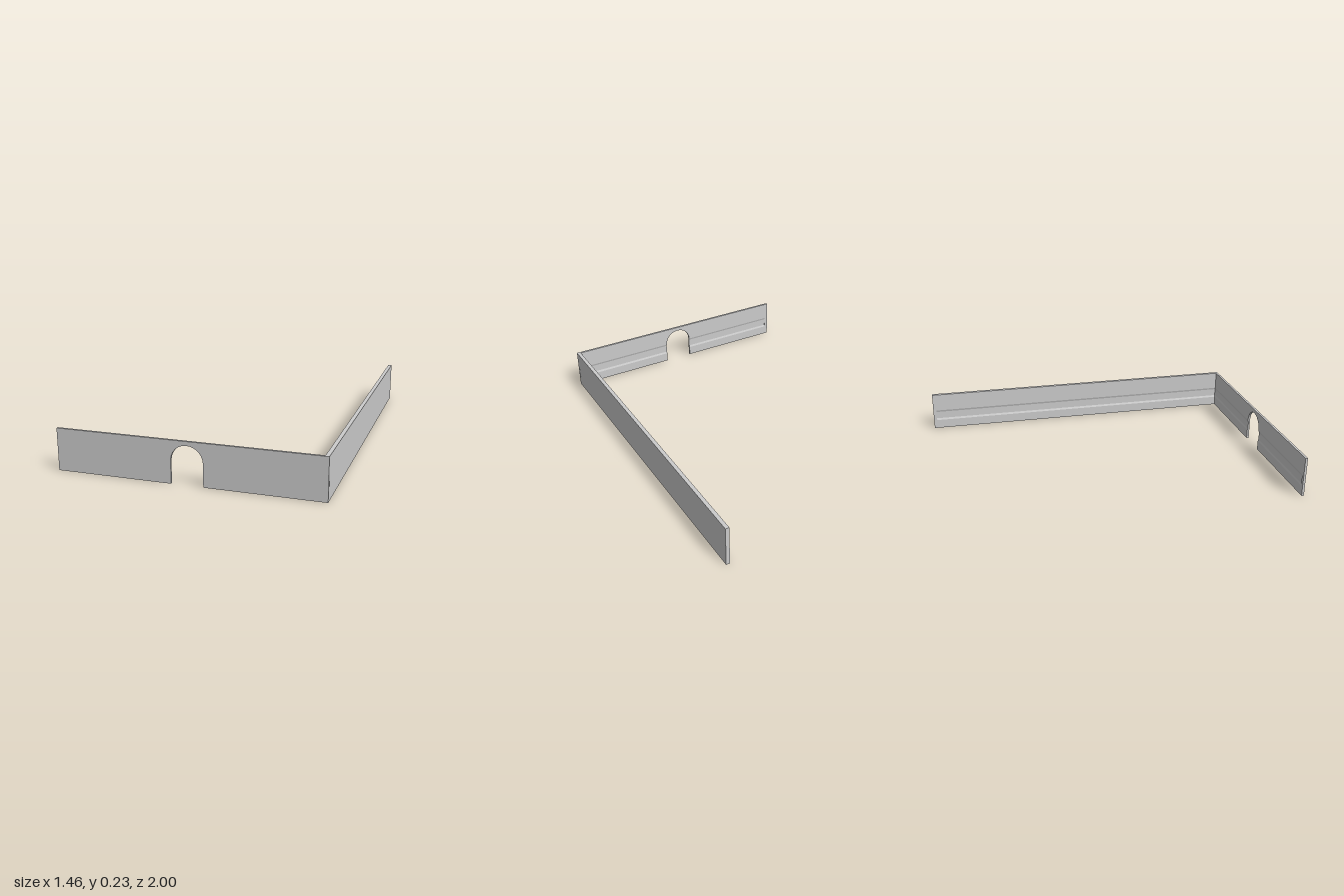
import * as THREE from 'three';

const HEIGHT = 0.235;
const RELIEF = 0.004; // depth of the groove on the inner face
const GROOVE = { low: 0.056, lowIn: 0.068, highIn: 0.113, high: 0.125 };
const material = new THREE.MeshStandardMaterial({ color: 0xcccccc, flatShading: true });

function addPart(group, name, geometry) {
  const mesh = new THREE.Mesh(geometry, material);
  mesh.name = name;
  group.add(mesh);
  return mesh;
}

// Flat plate outline from x0 to x1 and y0 to the top, with an optional arched opening
function plateShape(x0, x1, y0, arch) {
  const shape = new THREE.Shape();
  shape.moveTo(x0, y0);
  if (arch) {
    if (arch.spring > y0) shape.lineTo(arch.x - arch.radius, y0);
    shape.lineTo(arch.x - arch.radius, arch.spring);
    const steps = 12;
    for (let i = 1; i <= steps; i++) {
      const a = Math.PI * (1 - i / steps);
      shape.lineTo(arch.x + arch.radius * Math.cos(a), arch.spring + arch.radius * Math.sin(a));
    }
    if (arch.spring > y0) shape.lineTo(arch.x + arch.radius, y0);
  }
  shape.lineTo(x1, y0);
  shape.lineTo(x1, HEIGHT);
  shape.lineTo(x0, HEIGHT);
  return shape;
}

function extrudePlate(shape, z, depth) {
  return new THREE.ExtrudeGeometry(shape, { depth, bevelEnabled: false }).translate(0, 0, z);
}

// Strip running along x, from a (z, y) cross-section
function strip(points, x0, x1, z) {
  const shape = new THREE.Shape(points.map(([d, y]) => new THREE.Vector2(-d, y)));
  return new THREE.ExtrudeGeometry(shape, { depth: x1 - x0, bevelEnabled: false })
    .rotateY(Math.PI / 2)
    .translate(x0, 0, z);
}

// Wall with its outer face on z = 0 and its grooved inner face towards +z
function makeWall(name, { x0, x1, thickness, arch, runs, post }) {
  const wall = new THREE.Group();
  wall.name = name;
  const z = thickness - RELIEF;
  addPart(wall, 'wallPanel', extrudePlate(plateShape(x0, x1, 0, arch), 0, z));
  addPart(wall, 'upperInnerFace', extrudePlate(plateShape(x0, x1, GROOVE.high, arch), z, RELIEF));

  // Sloped edges below and above the groove
  for (const [a, b] of runs) {
    addPart(wall, 'footRail', strip(
      [[0, 0], [RELIEF, 0], [RELIEF, GROOVE.low], [0, GROOVE.lowIn]], a, b, z));
    addPart(wall, 'grooveUpperSlope', strip(
      [[0, GROOVE.highIn], [RELIEF, GROOVE.high], [0, GROOVE.high]], a, b, z));
  }

  // Solid stop closing the groove at the free end
  const [p0, p1] = post;
  addPart(wall, 'endPost', new THREE.BoxGeometry(p1 - p0, GROOVE.high, RELIEF))
    .position.set((p0 + p1) / 2, GROOVE.high / 2, z + RELIEF / 2);
  return wall;
}

export function createModel() {
  const model = new THREE.Group();
  model.name = 'cornerWalls';

  const front = makeWall('frontWall', {
    x0: -0.73, x1: 0.73, thickness: 0.014,
    arch: { x: -0.0025, radius: 0.0875, spring: 0.125 },
    runs: [[-0.73, -0.09], [0.085, 0.71]],
    post: [0.71, 0.73],
  });
  front.rotation.y = Math.PI;
  front.position.z = 1;

  const side = makeWall('sideWall', {
    x0: -1, x1: 0.986, thickness: 0.022,
    runs: [[-0.98, 0.986]],
    post: [-1, -0.98],
  });
  side.rotation.y = -Math.PI / 2;
  side.position.x = 0.73;

  model.add(front, side);
  return model;
}
